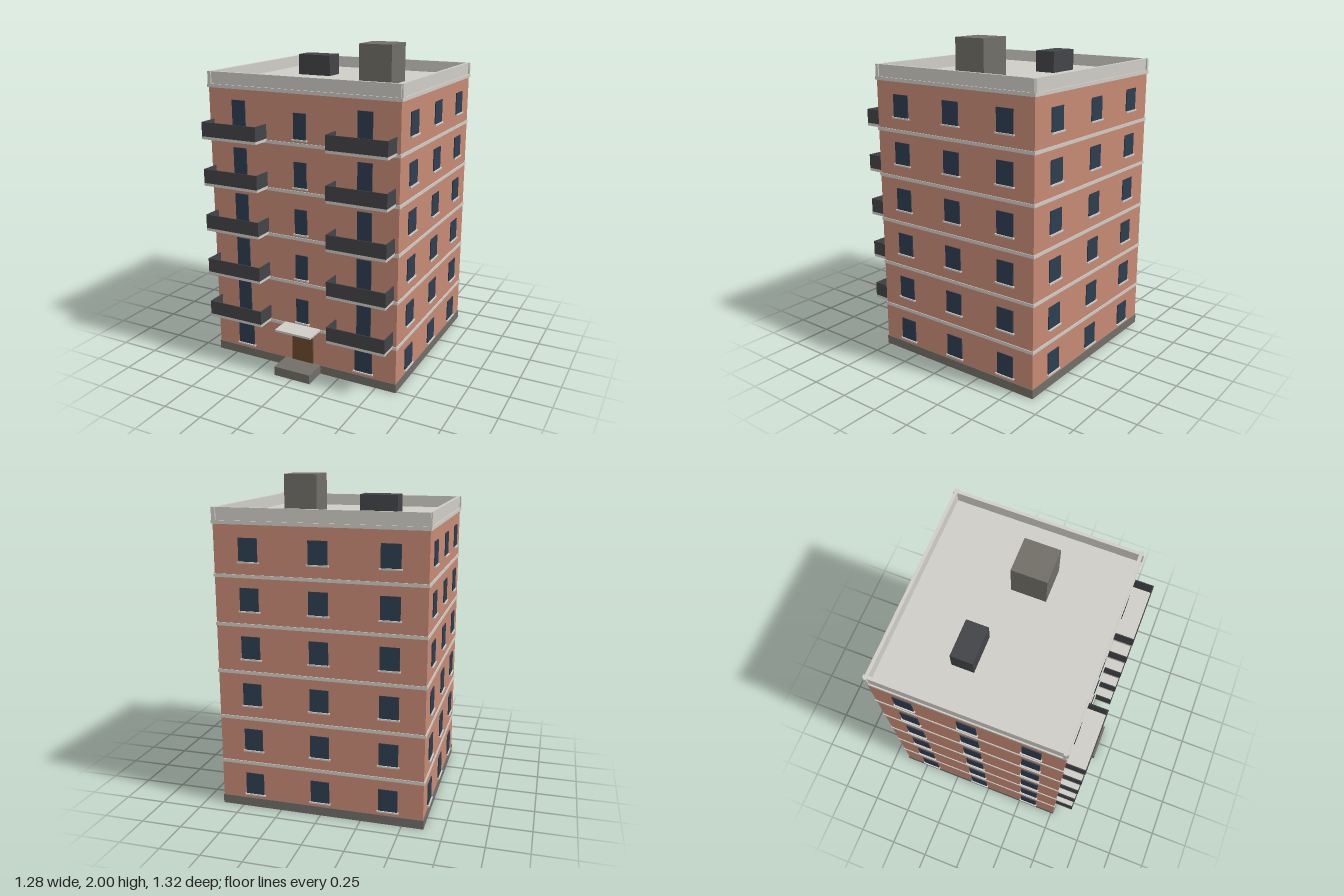
import * as THREE from 'three';

const mat = (color, side = THREE.FrontSide) => new THREE.MeshStandardMaterial({ color, side });
const brick = mat(0xc68a74), trim = mat(0xcfcdc6), stone = mat(0x706e67);
const dark = mat(0x434448), glass = mat(0x2d3e50), wood = mat(0x6b4a30);

const W = 0.628, FRONT = 0.513, BACK = -0.645;   // wall faces
const MID = (FRONT + BACK) / 2, STOREY = 0.2893, FLOORS = 6;
const EAVES = 1.743, DECK = 1.764, TOP = 1.838;

// Box given by its limits on each axis
function block(parent, name, material, [x0, x1], [y0, y1], [z0, z1]) {
  const mesh = new THREE.Mesh(new THREE.BoxGeometry(x1 - x0, y1 - y0, z1 - z0), material);
  mesh.position.set((x0 + x1) / 2, (y0 + y1) / 2, (z0 + z1) / 2);
  mesh.name = name;
  parent.add(mesh);
  return mesh;
}

// Ring of trim around the walls, standing out by a small amount
function ring(parent, name, material, y0, y1, out) {
  const rect = (path, e) => path.moveTo(-W - e, BACK - e).lineTo(W + e, BACK - e)
    .lineTo(W + e, FRONT + e).lineTo(-W - e, FRONT + e).closePath();
  const shape = new THREE.Shape();
  rect(shape, out);
  const hole = new THREE.Path();
  rect(hole, -0.01);
  shape.holes.push(hole);
  const geo = new THREE.ExtrudeGeometry(shape, { depth: y1 - y0, bevelEnabled: false });
  geo.rotateX(Math.PI / 2);            // shape y becomes z, depth runs down
  const mesh = new THREE.Mesh(geo, material);
  mesh.position.y = y1;
  mesh.name = name;
  parent.add(mesh);
}

// Window with a sill, facing +z with the wall at z = 0
function makeWindow(width, height) {
  const g = new THREE.Group();
  g.name = 'window';
  block(g, 'pane', glass, [-width / 2, width / 2], [0, height], [-0.01, 0.006]);
  const s = width / 2 + 0.008;
  block(g, 'sill', trim, [-s, s], [-0.009, 0], [-0.01, 0.014]);
  return g;
}

function place(parent, item, x, y, z, turn = 0) {
  item.position.set(x, y, z);
  item.rotation.y = turn;
  parent.add(item);
}

// Balcony with slab, three solid rails and its door; the wall is at z = 0
function makeBalcony() {
  const g = new THREE.Group(), half = 0.189, deep = 0.121, t = 0.006;
  g.name = 'balcony';
  block(g, 'slab', trim, [-half, half], [0, 0.017], [-0.01, deep]);
  block(g, 'frontRail', dark, [-half, half], [0.017, 0.104], [deep - t, deep]);
  for (const s of [-1, 1]) {
    const x = s * (half - t / 2);
    block(g, 'sideRail', dark, [x - t / 2, x + t / 2], [0.017, 0.104], [0, deep - t]);
  }
  return g;
}

export function createModel() {
  const model = new THREE.Group();
  model.name = 'apartmentBlock';

  // Walls, plinth and floor bands
  block(model, 'walls', brick, [-W, W], [0, EAVES], [BACK, FRONT]);
  ring(model, 'plinth', stone, 0.0005, 0.056, 0.004);
  for (let k = 1; k < FLOORS; k++) {
    ring(model, 'floorBand', trim, k * STOREY - 0.01, k * STOREY + 0.01, 0.005);
  }

  // Side and back windows
  for (let k = 0; k < FLOORS; k++) {
    const y = k * STOREY + 0.086;
    for (const i of [-1, 0, 1]) {
      place(model, makeWindow(0.115, 0.136), W, y, MID + i * 0.385, Math.PI / 2);
      place(model, makeWindow(0.115, 0.136), -W, y, MID + i * 0.385, -Math.PI / 2);
      place(model, makeWindow(0.115, 0.136), i * 0.417, y, BACK, Math.PI);
    }
  }

  // Front: ground windows, then balconies, balcony doors and stair windows
  for (const s of [-1, 1]) place(model, makeWindow(0.115, 0.136), s * 0.417, 0.086, FRONT);
  for (let k = 1; k < FLOORS; k++) {
    const y = k * STOREY;
    place(model, makeWindow(0.083, 0.154), 0, y + 0.032, FRONT);
    for (const s of [-1, 1]) {
      place(model, makeBalcony(), s * 0.417, y, FRONT);
      block(model, 'balconyDoor', glass, [s * 0.417 - 0.046, s * 0.417 + 0.046],
        [y + 0.017, y + 0.231], [FRONT - 0.01, FRONT + 0.006]);
    }
  }

  // Entrance
  block(model, 'entranceDoor', wood, [-0.073, 0.073], [0.056, 0.281], [FRONT - 0.01, FRONT + 0.008]);
  block(model, 'entranceStep', stone, [-0.124, 0.124], [0, 0.058], [FRONT, 0.66]);
  block(model, 'entranceCanopy', trim, [-0.124, 0.124], [0.289, 0.302], [FRONT - 0.01, 0.642]);

  // Roof slab and parapet walls crossing at the corners
  const over = 0.008, thick = 0.02;
  block(model, 'roofSlab', trim, [-W - over, W + over], [EAVES, DECK], [BACK - over, FRONT + over]);
  for (const [z0, z1] of [[FRONT - thick, FRONT], [BACK, BACK + thick]]) {
    block(model, 'parapet', trim, [-W - over, W + over], [DECK, TOP], [z0, z1]);
  }
  for (const [x0, x1] of [[W - thick, W], [-W, thick - W]]) {
    block(model, 'sideParapet', trim, [x0, x1], [DECK, TOP], [BACK - over, FRONT + over]);
  }

  // Rooftop boxes
  block(model, 'stairHouse', stone, [0.175, 0.387], [DECK, 2], [-0.117, 0.095]);
  block(model, 'ventilationUnit', dark, [-0.365, -0.137], [DECK, 1.895], [-0.253, -0.12]);

  return model;
}
